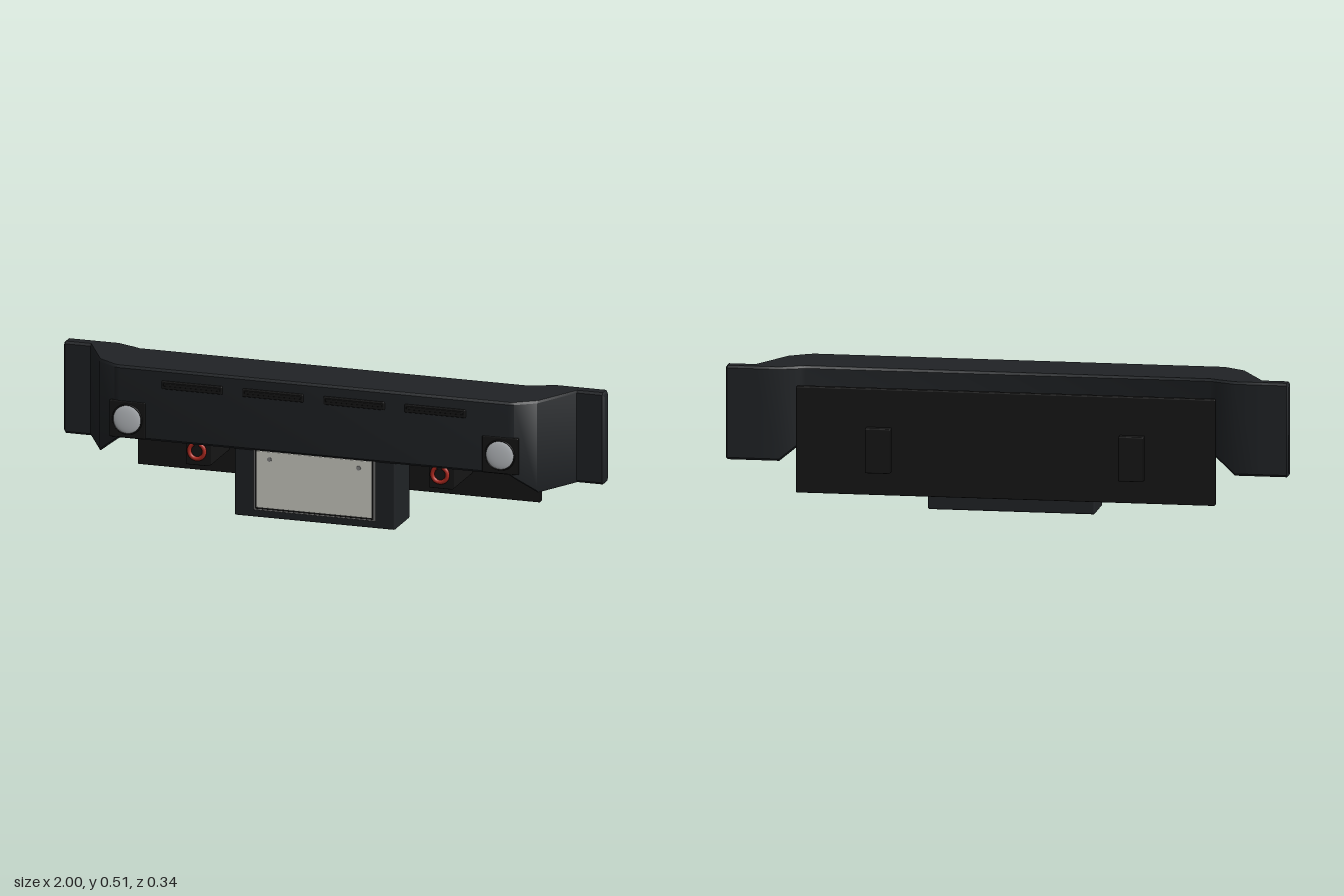
import * as THREE from 'three';
import { toCreasedNormals } from 'three/addons/utils/BufferGeometryUtils.js';
import { RoundedBoxGeometry } from 'three/addons/geometries/RoundedBoxGeometry.js';

const paint = (color) => new THREE.MeshStandardMaterial({ color });
const bodyMat = paint(0x202326);
const trimMat = paint(0x161616);
const redMat = paint(0xb02a20);
const lampMat = paint(0xc4c8cc);
const plateMat = paint(0xd4d4cc);
const steelMat = paint(0x8a8a8a);

// Bumper body: chamfered cross-sections swept along x, mirrored about the middle
function bumperGeometry() {
  // x, back z, front z, bottom y, inset
  const half = [
    [1, -0.108, -0.056, 0.174, 0.006],
    [0.994, -0.108, -0.056, 0.174, 0],
    [0.9, -0.108, -0.056, 0.174, 0],
    [0.81, -0.108, 0.11, 0.174, 0],
    [0.74, -0.08, 0.157, 0.23, 0],
    [0.72, -0.07, 0.162, 0.245, 0],
  ];
  const sections = [
    ...half.map(([x, ...rest]) => [-x, ...rest]),
    ...half.slice().reverse(),
  ];
  const top = 0.51, c = 0.008, n = 8;
  const pos = [], index = [];
  for (const [x, zb, zf, yb, inset] of sections) {
    const b = zb + inset, f = zf - inset, lo = yb + inset, hi = top - inset;
    const ring = [
      [b, lo + c], [b, hi - c], [b + c, hi], [f - c, hi],
      [f, hi - c], [f, lo + c], [f - c, lo], [b + c, lo],
    ];
    for (const [z, y] of ring) pos.push(x, y, z);
  }
  for (let i = 0; i < sections.length - 1; i++) {
    for (let j = 0; j < n; j++) {
      const a = i * n + j, b = i * n + (j + 1) % n;
      index.push(a, b, b + n, a, b + n, a + n);
    }
  }
  const last = (sections.length - 1) * n;
  for (let j = 1; j < n - 1; j++) {
    index.push(0, j + 1, j, last, last + j, last + j + 1);
  }
  const g = new THREE.BufferGeometry();
  g.setAttribute('position', new THREE.Float32BufferAttribute(pos, 3));
  g.setIndex(index);
  return toCreasedNormals(g, 0.7);
}

export function createModel() {
  const group = new THREE.Group();

  const add = (name, geometry, material, x = 0, y = 0, z = 0) => {
    const mesh = new THREE.Mesh(geometry, material);
    mesh.name = name;
    mesh.position.set(x, y, z);
    group.add(mesh);
    return mesh;
  };
  // Rounded box given by its extents
  const box = (name, mat, [x0, x1], [y0, y1], [z0, z1], r = 0.004) =>
    add(name, new RoundedBoxGeometry(x1 - x0, y1 - y0, z1 - z0, 2, r), mat,
      (x0 + x1) / 2, (y0 + y1) / 2, (z0 + z1) / 2);

  add('bumperBody', bumperGeometry(), bodyMat);
  box('backPanel', trimMat, [-0.745, 0.745], [0.07, 0.45], [-0.138, -0.112]);
  box('winchHousing', bodyMat, [-0.297, 0.297], [0, 0.26], [-0.012, 0.15], 0.006);

  // Vent slots, each a raised frame with a thin bar
  for (const x of [-0.45, -0.15, 0.15, 0.45]) {
    box('ventSlot', trimMat, [x - 0.113, x + 0.113], [0.44, 0.47], [0.155, 0.168]);
    box('ventBar', trimMat, [x - 0.105, x + 0.105], [0.452, 0.463], [0.16, 0.171], 0.002);
  }

  // Registration plate, blank, with border frame and bolts
  box('plateFrame', steelMat, [-0.225, 0.225], [0.027, 0.25], [0.148, 0.156], 0.002);
  box('plateBorder', trimMat, [-0.22, 0.22], [0.032, 0.248], [0.15, 0.157], 0.002);
  box('plate', plateMat, [-0.214, 0.214], [0.038, 0.246], [0.15, 0.1585], 0.002);

  const boltGeo = new THREE.CylinderGeometry(0.008, 0.008, 0.006, 12).rotateX(Math.PI / 2);
  // Flattened dome lens, facing forward
  const lensGeo = new THREE.SphereGeometry(0.052, 32, 12, 0, Math.PI * 2, 0, Math.PI / 2)
    .rotateX(Math.PI / 2).scale(1, 1, 0.12);
  const rimGeo = new THREE.TorusGeometry(0.053, 0.003, 8, 32);
  // Tow loop, open at the top
  const gap = 0.7;
  const hookGeo = new THREE.TorusGeometry(0.028, 0.008, 10, 28, Math.PI * 2 - gap)
    .rotateZ(Math.PI / 2 + gap / 2);

  for (const s of [-1, 1]) {
    add('plateBolt', boltGeo, steelMat, s * 0.165, 0.218, 0.159);
    const lx = s * 0.69;
    box('lampBezel', trimMat, [lx - 0.067, lx + 0.067], [0.248, 0.382], [0.15, 0.164]);
    add('lampRim', rimGeo, trimMat, lx, 0.316, 0.164);
    add('lampLens', lensGeo, lampMat, lx, 0.316, 0.1645);
    // Chassis mount running back through the panel
    const mx = s * 0.45;
    box('chassisMount', trimMat, [mx - 0.045, mx + 0.045], [0.153, 0.313], [-0.169, 0.102]);
    add('towHook', hookGeo, redMat, mx, 0.208, 0.112);
  }
  return group;
}
